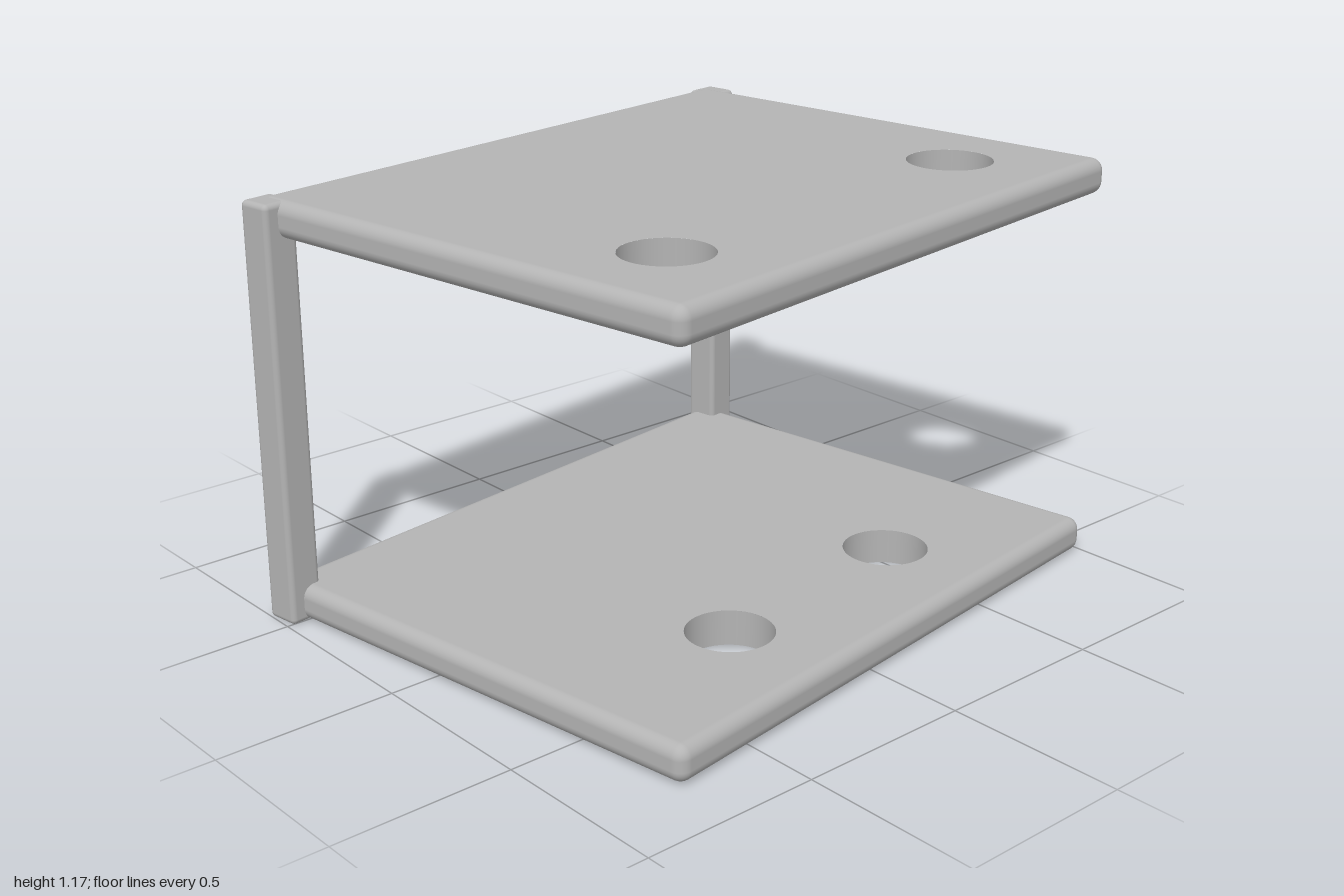
import * as THREE from 'three';
import { RoundedBoxGeometry } from 'three/addons/geometries/RoundedBoxGeometry.js';
import { mergeGeometries } from 'three/addons/utils/BufferGeometryUtils.js';

const W = 1.44, D = 1.78, T = 0.1, R = 0.035; // shelf size and edge radius
const HOLE_R = 0.119, HOLE_X = 0.41;

// Rounded box without its flat top and bottom, so pierced faces can replace them
function rimGeometry() {
  const box = new RoundedBoxGeometry(W, T, D, 4, R);
  const src = box.index ? box.toNonIndexed() : box;
  const n = src.attributes.normal;
  const keep = [];
  for (let i = 0; i < n.count; i += 3) {
    const flat = [0, 1, 2].every((k) => Math.abs(n.getY(i + k)) > 0.9999);
    if (!flat) keep.push(i, i + 1, i + 2);
  }
  src.clearGroups();
  src.setIndex(keep);
  return src.toNonIndexed();
}

// Shelf with two round holes, placed symmetrically at z = +-spread
function shelfGeometry(spread) {
  const a = W / 2 - R, b = D / 2 - R;
  const face = new THREE.Shape([[-a, -b], [a, -b], [a, b], [-a, b]].map(([x, y]) => new THREE.Vector2(x, y)));
  const parts = [rimGeometry()];
  for (const z of [-spread, spread]) {
    face.holes.push(new THREE.Path().absarc(HOLE_X, z, HOLE_R, 0, Math.PI * 2, true));
    // Inward-facing hole wall
    const wall = new THREE.LatheGeometry([new THREE.Vector2(HOLE_R, T / 2), new THREE.Vector2(HOLE_R, -T / 2)], 48);
    parts.push(wall.translate(HOLE_X, 0, z).toNonIndexed());
  }
  for (const side of [1, -1]) {
    const cap = new THREE.ShapeGeometry(face, 48);
    cap.rotateX(-side * Math.PI / 2).translate(0, side * T / 2, 0);
    parts.push(cap.toNonIndexed());
  }
  return mergeGeometries(parts);
}

export function createModel() {
  const model = new THREE.Group();
  model.name = 'shelfUnit';
  const grey = new THREE.MeshStandardMaterial({ color: 0xb4b4b4 });
  grey.name = 'grey';

  const add = (name, geometry, x, y, z) => {
    const mesh = new THREE.Mesh(geometry, grey);
    mesh.name = name;
    mesh.position.set(x, y, z);
    model.add(mesh);
  };

  // Two shelves, the lower with its holes closer together
  add('bottomShelf', shelfGeometry(0.342), 0.005, 0.052, -0.02);
  add('topShelf', shelfGeometry(0.584), 0.005, 1.12, -0.02);

  // Posts at the two corners of one side
  const post = new RoundedBoxGeometry(0.1, 1.168, 0.1, 3, 0.015);
  add('frontPost', post, -0.67, 0.584, 0.86);
  add('backPost', post, -0.67, 0.584, -0.89);

  // The whole unit stands slightly turned
  model.rotation.y = THREE.MathUtils.degToRad(8);
  return model;
}
